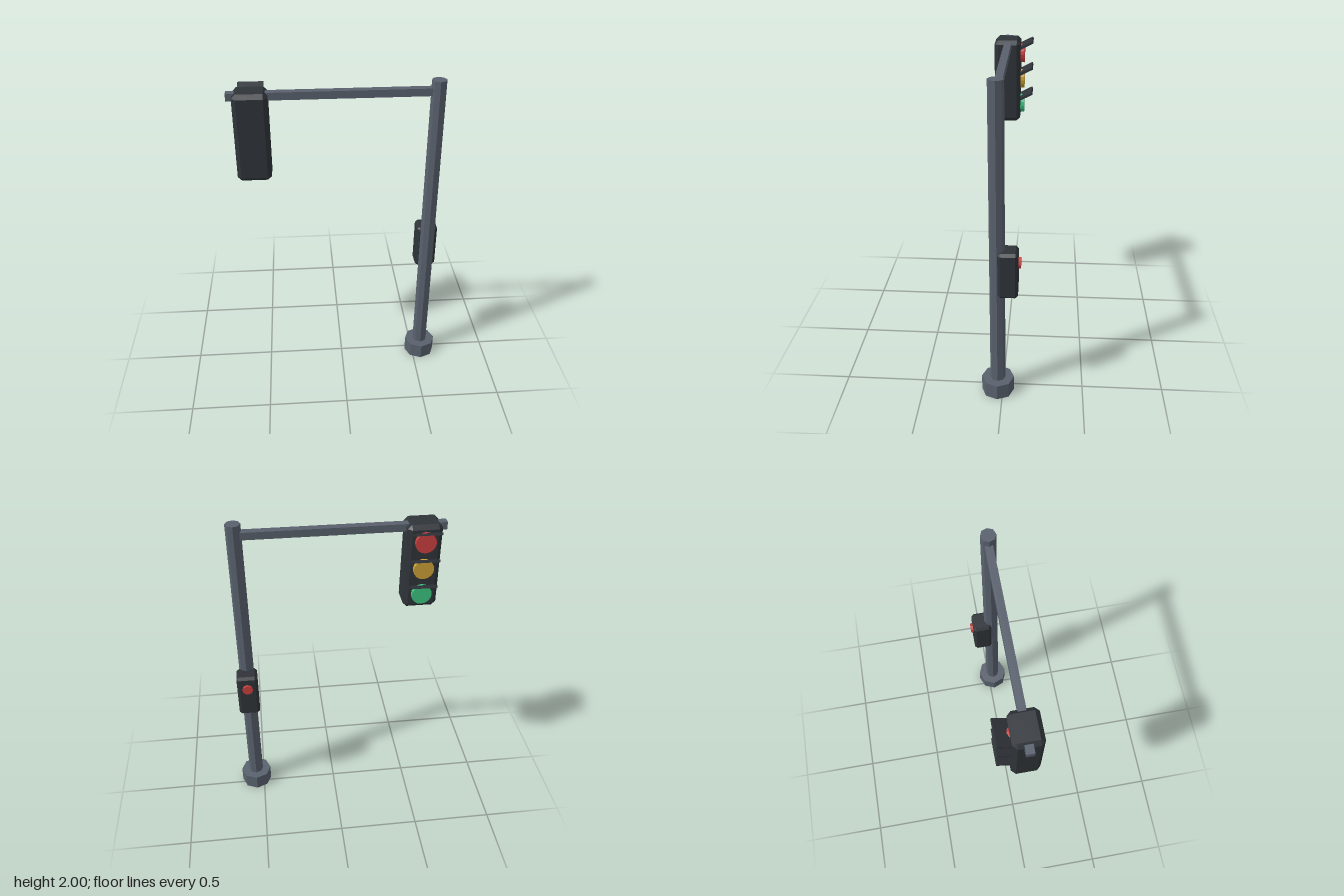
import * as THREE from 'three';
import { ConvexGeometry } from 'three/addons/geometries/ConvexGeometry.js';

const material = (name, color) => {
  const m = new THREE.MeshStandardMaterial({ color, flatShading: true });
  m.name = name;
  return m;
};

// Box with every edge and corner cut flat
function chamferBox(w, h, d, c) {
  const x = w / 2, y = h / 2, z = d / 2, points = [];
  for (const sx of [-1, 1]) for (const sy of [-1, 1]) for (const sz of [-1, 1]) {
    points.push(
      new THREE.Vector3(sx * x, sy * (y - c), sz * (z - c)),
      new THREE.Vector3(sx * (x - c), sy * y, sz * (z - c)),
      new THREE.Vector3(sx * (x - c), sy * (y - c), sz * z));
  }
  return new ConvexGeometry(points);
}

export function createModel() {
  const model = new THREE.Group();
  model.name = 'trafficLight';

  const steel = material('steelGrey', 0x59616d);
  const dark = material('darkHousing', 0x2f3439);
  const red = material('red', 0xcc4040);
  const yellow = material('yellow', 0xcca037);
  const green = material('green', 0x3cc480);

  const add = (name, geometry, mat, x, y, z, parent = model) => {
    const mesh = new THREE.Mesh(geometry, mat);
    mesh.name = name;
    mesh.position.set(x, y, z);
    parent.add(mesh);
    return mesh;
  };

  const poleX = 0.55, headX = -0.515, axisZ = 0.03;

  // Post, foot and overhead arm
  add('base', new THREE.CylinderGeometry(0.1, 0.1, 0.1, 8), steel, poleX, 0.05, axisZ);
  add('pole', new THREE.CylinderGeometry(0.044, 0.047, 1.95, 8), steel, poleX, 1.025, axisZ);
  add('arm', new THREE.BoxGeometry(1.2, 0.045, 0.045), steel, -0.05, 1.933, 0.027);

  // Signal head
  const head = new THREE.Group();
  head.name = 'signalHead';
  model.add(head);
  add('housing', chamferBox(0.2, 0.53, 0.166, 0.024), dark, headX, 1.7, axisZ, head);

  // Three lamps facing backward, each under a tilted visor
  const lampGeometry = new THREE.CylinderGeometry(0.06, 0.06, 0.04, 16).rotateX(Math.PI / 2);
  const visorGeometry = new THREE.BoxGeometry(0.151, 0.014, 0.1);
  [['red', red], ['yellow', yellow], ['green', green]].forEach(([name, mat], i) => {
    const y = 1.87 - i * 0.167;
    add(name + 'Lamp', lampGeometry, mat, headX, y, -0.058, head);
    const visor = add(name + 'Visor', visorGeometry, dark, headX, y + 0.061, -0.085, head);
    visor.rotation.x = 0.47;
  });

  // Crossing call box with its push button
  add('callBox', chamferBox(0.13, 0.295, 0.118, 0.016), dark, poleX, 0.868, -0.034);
  add('callButton', new THREE.CylinderGeometry(0.033, 0.033, 0.03, 8).rotateX(Math.PI / 2),
    red, poleX, 0.932, -0.093);

  return model;
}
